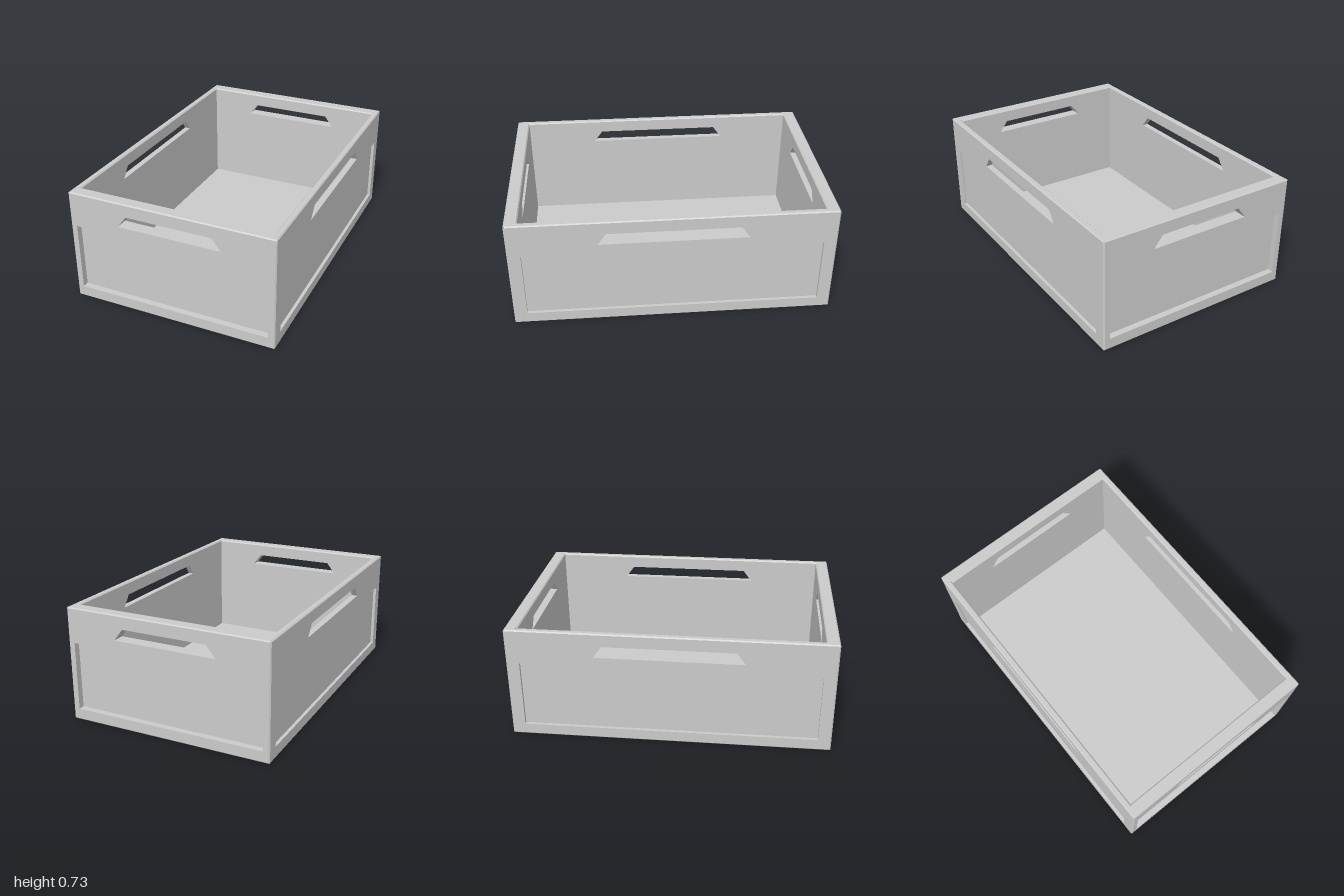
import * as THREE from 'three';
import { mergeGeometries } from 'three/addons/utils/BufferGeometryUtils.js';

const H = 0.73, HALF_X = 0.665, HALF_Z = 1;   // overall size
const T_SIDE = 0.04, T_END = 0.08;            // wall thicknesses
const FLOOR = 0.03, C = 0.007;                // floor thickness, edge chamfer

const rect = (w, y0, y1) => [[-w, y0], [w, y0], [w, y1], [-w, y1]];

// Flat face from an outline with holes, at height z
function face(outline, holes, z, flip = false) {
  const toVecs = (pts) => pts.map(([x, y]) => new THREE.Vector2(x, y));
  const shape = new THREE.Shape(toVecs(outline));
  holes.forEach((h) => shape.holes.push(new THREE.Path(toVecs(h))));
  const g = new THREE.ShapeGeometry(shape);
  if (flip) g.rotateY(Math.PI);               // outlines are symmetric in x
  g.translate(0, 0, z);
  const flat = g.toNonIndexed();
  flat.deleteAttribute('uv');
  return flat;
}

// Flat-shaded band joining loop a (at za) to loop b (at zb, further in)
function band(a, za, b, zb, segments = [0, 1, 2, 3]) {
  const pos = [];
  for (const i of segments) {
    const j = (i + 1) % a.length;
    const a0 = [...a[i], za], a1 = [...a[j], za];
    const b0 = [...b[i], zb], b1 = [...b[j], zb];
    pos.push(...a0, ...b0, ...b1, ...a0, ...b1, ...a1);
  }
  const g = new THREE.BufferGeometry();
  g.setAttribute('position', new THREE.Float32BufferAttribute(pos, 3));
  g.computeVertexNormals();
  return g;
}

// Mitred wall facing +z, with a hand slot and a recessed panel
function wallGeometry({ half, dist, t, otherT, panelHalf, slotBottom, slotTop }) {
  const outlineAt = (d) => {
    const inset = d <= C / 2 ? C - d
      : C / 2 + ((d - C / 2) / (t - C / 2)) * (otherT - C / 2);
    const bottom = Math.max(0, C - d);
    const top = H - Math.max(0, C - d, d - (t - C));
    return rect(half - inset, bottom, top);
  };
  const slot = [[-slotBottom, 0.572], [slotBottom, 0.572], [slotTop, 0.647], [-slotTop, 0.647]];
  const panel = rect(panelHalf, 0.073, 0.507);
  const slotIn = [...slot].reverse(), panelIn = [...panel].reverse();
  const mid = dist - t / 2, inner = dist - t;

  const parts = [
    face(outlineAt(0), [slot, panel], dist),
    face(outlineAt(t), [slot], inner, true),
    face(panel, [], mid),
    band(panelIn, dist, panelIn, mid),
    band(slotIn, dist, slotIn, inner),
  ];
  // chamfered edges; the mitred ends stay open where the walls meet
  const depths = [0, C / 2, C, t - C, t];
  for (let i = 0; i < depths.length - 1; i++) {
    const [d0, d1] = [depths[i], depths[i + 1]];
    parts.push(band(outlineAt(d0), dist - d0, outlineAt(d1), dist - d1, i ? [0, 2] : [0, 1, 2, 3]));
  }
  return mergeGeometries(parts);
}

export function createModel() {
  const group = new THREE.Group();
  group.name = 'crate';
  const material = new THREE.MeshStandardMaterial({ color: 0xcccccc });
  const add = (name, geometry, turn = 0) => {
    const mesh = new THREE.Mesh(geometry, material);
    mesh.name = name;
    mesh.rotation.y = turn;
    group.add(mesh);
  };

  // End walls
  const end = wallGeometry({
    half: HALF_X, dist: HALF_Z, t: T_END, otherT: T_SIDE,
    panelHalf: 0.624, slotBottom: 0.333, slotTop: 0.275,
  });
  add('frontWall', end);
  add('backWall', end, Math.PI);

  // Side walls
  const side = wallGeometry({
    half: HALF_Z, dist: HALF_X, t: T_SIDE, otherT: T_END,
    panelHalf: 0.918, slotBottom: 0.46, slotTop: 0.405,
  });
  add('leftWall', side, Math.PI / 2);
  add('rightWall', side, -Math.PI / 2);

  // Floor, seen from inside and from below
  const sheet = (angle, y) => new THREE.PlaneGeometry(2 * (HALF_X - T_SIDE), 2 * (HALF_Z - T_END))
    .rotateX(angle).translate(0, y, 0);
  add('floor', mergeGeometries([sheet(-Math.PI / 2, FLOOR), sheet(Math.PI / 2, 0)]));

  return group;
}
